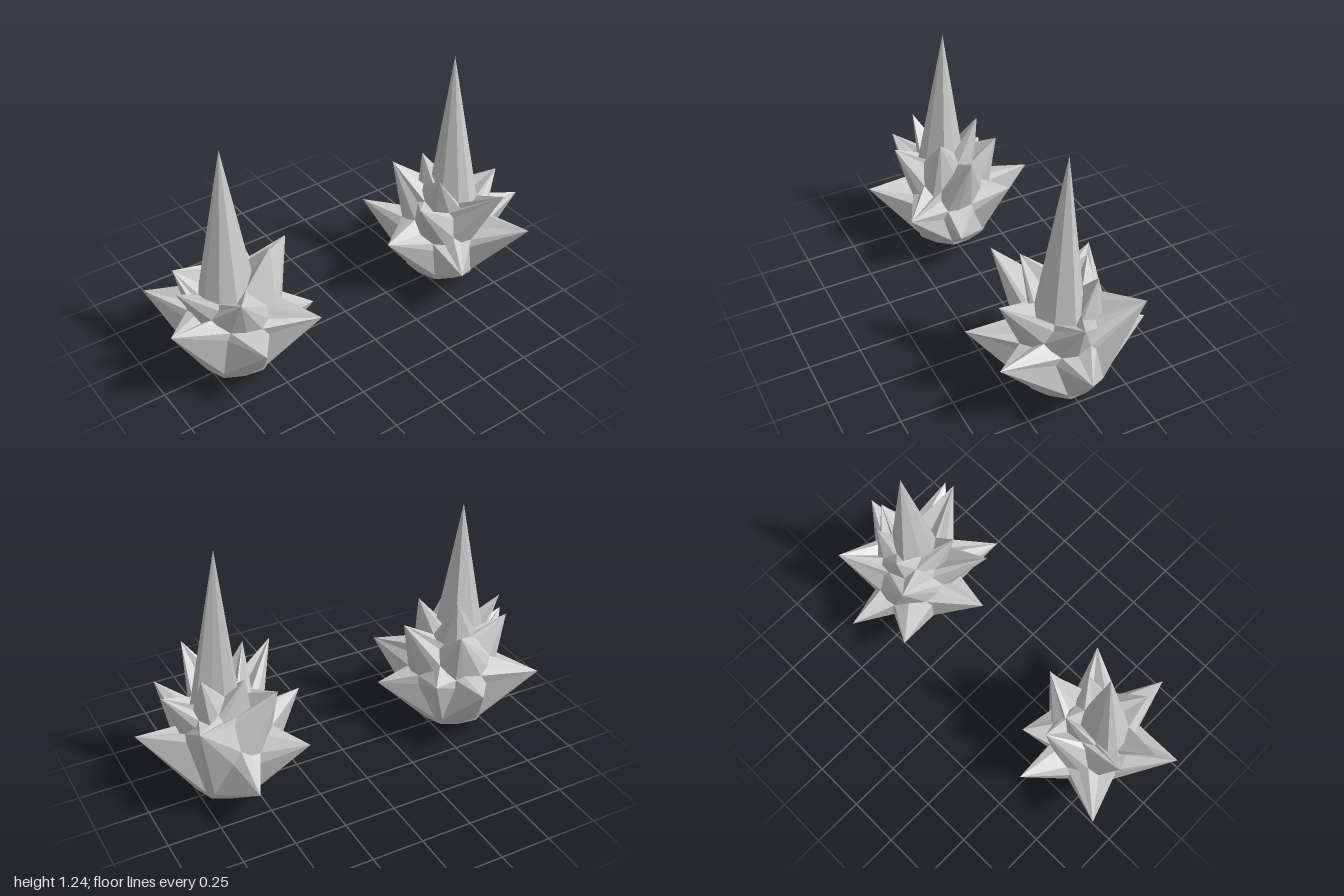
import * as THREE from 'three';
import { ConvexGeometry } from 'three/addons/geometries/ConvexGeometry.js';

const material = new THREE.MeshStandardMaterial({ color: 0xcccccc, flatShading: true });
const CORE_Y = 0.2;

// Tip positions of each cluster; the first is the tall central spike
const leftTips = [
  [-0.63, 1.185, 0], [-1, 0.46, 0.15], [-0.92, 0.6, 0.06], [-0.25, 0.26, 0.1],
  [-0.35, 0.37, 0.32], [-0.69, 0.38, 0.41], [-0.33, 0.62, 0], [-0.53, 0.38, -0.4],
  [-0.91, 0.36, -0.31], [-0.38, 0.38, -0.23], [-0.85, 0.59, -0.1], [-0.51, 0.61, -0.22],
  [-0.54, 0.74, -0.13], [-0.47, 0.68, 0.1], [-0.71, 0.56, 0.25],
];
const rightTips = [
  [0.6, 1.24, 0.01], [0.19, 0.38, 0.08], [0.28, 0.62, 0.2], [1, 0.37, 0.09],
  [0.87, 0.55, 0.06], [0.82, 0.55, -0.27], [0.66, 0.63, 0.35], [0.79, 0.41, 0.41],
  [0.4, 0.3, 0.39], [0.62, 0.25, -0.41], [0.33, 0.36, -0.32], [0.43, 0.61, -0.21],
  [0.55, 0.66, -0.13], [0.73, 0.68, -0.08], [0.44, 0.68, 0.14],
];

// Distance from the core's centre to its egg-shaped surface
function coreRadius(d) {
  const h = Math.hypot(d.x, d.z) / 0.23;
  const v = d.y / (d.y > 0 ? 0.38 : 0.2);
  return 1 / Math.hypot(h, v);
}

// A closed shell: every tip is joined to valleys lying on the core between tips
function spikedShell(tips, cx) {
  const centre = new THREE.Vector3(cx, CORE_Y, 0);
  const nodes = tips.map((p, i) => ({
    p: new THREE.Vector3(...p).sub(centre),
    w: i === 0 ? 3.5 : 0.5 + p[1],
  }));

  // Blunt bowl underneath; its low weight lets the spikes reach down to it
  nodes.push({ p: new THREE.Vector3(0, -CORE_Y, 0), w: 0.15 });
  for (let i = 0; i < 6; i++) {
    const a = (i + 0.3) / 6 * Math.PI * 2;
    nodes.push({ p: new THREE.Vector3(0.185 * Math.cos(a), -0.13, 0.185 * Math.sin(a)), w: 0.12 });
  }
  for (const n of nodes) n.d = n.p.clone().normalize();

  // Valley between two or three neighbours; heavier tips get a wider foot
  const valley = (...group) => {
    const d = new THREE.Vector3();
    for (const n of group) d.addScaledVector(n.d, 1 / n.w);
    d.normalize();
    const limit = Math.min(...group.map((n) => n.p.length())) * 0.97;
    return d.multiplyScalar(Math.min(coreRadius(d), limit));
  };

  // Neighbours come from the hull of the tip directions
  const hull = new ConvexGeometry(nodes.map((n) => n.d)).getAttribute('position');
  const v = new THREE.Vector3();
  const nearest = (i) => {
    v.fromBufferAttribute(hull, i);
    return nodes.reduce((a, b) => (b.d.distanceToSquared(v) < a.d.distanceToSquared(v) ? b : a));
  };
  const points = [];
  for (let i = 0; i < hull.count; i += 3) {
    const t = [nearest(i), nearest(i + 1), nearest(i + 2)];
    const mid = valley(...t);
    for (let k = 0; k < 3; k++) {
      const a = t[k], b = t[(k + 1) % 3], c = t[(k + 2) % 3];
      points.push(a.p, valley(a, b), mid, a.p, mid, valley(c, a));
    }
  }
  const geometry = new THREE.BufferGeometry().setFromPoints(points);
  geometry.translate(centre.x, centre.y, centre.z);
  geometry.computeVertexNormals();
  return geometry;
}

export function createModel() {
  const group = new THREE.Group();
  for (const [name, tips, cx] of [['rightSpikyPlant', leftTips, -0.62], ['leftSpikyPlant', rightTips, 0.6]]) {
    const mesh = new THREE.Mesh(spikedShell(tips, cx), material);
    mesh.name = name;
    group.add(mesh);
  }
  return group;
}
